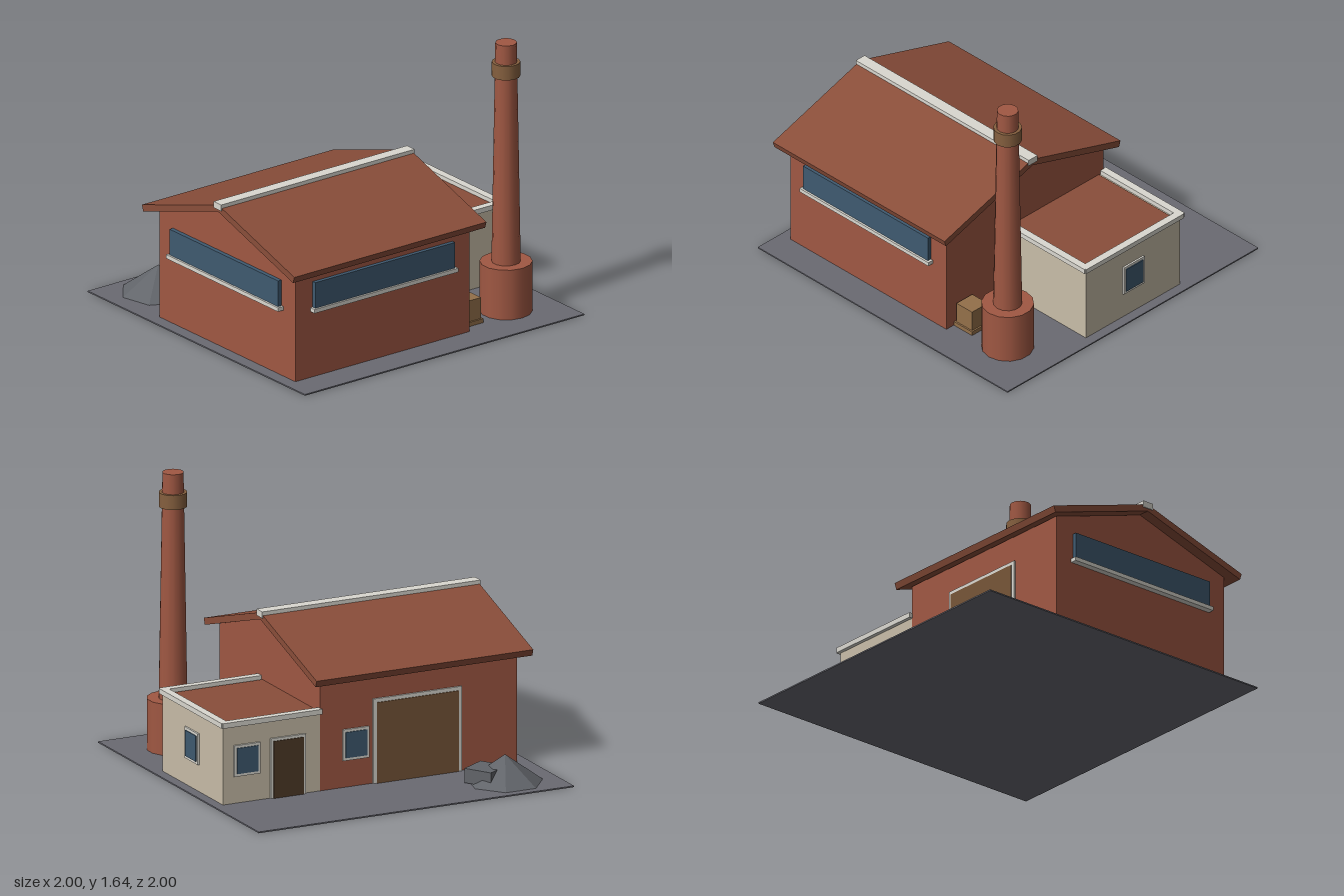
import * as THREE from 'three';

const mat = (color) => new THREE.MeshStandardMaterial({ color });
const M = {
  ground: mat(0x6a6a72), brick: mat(0xa05843), roof: mat(0x8a4e3a), trim: mat(0xdad8d0),
  plaster: mat(0xc8bda8), glass: mat(0x3f5a70), gate: mat(0x765538), door: mat(0x4f3a28),
  wood: mat(0x94704a), band: mat(0x86603f), rubble: mat(0x62656a),
};
M.rubble.flatShading = true;

export function createModel() {
  const model = new THREE.Group();

  const add = (name, geometry, material, parent = model) => {
    const mesh = new THREE.Mesh(geometry, material);
    mesh.name = name;
    parent.add(mesh);
    return mesh;
  };
  // Box given by its minimum and maximum on each axis
  const box = (name, material, [x0, x1], [y0, y1], [z0, z1], parent) => {
    const mesh = add(name, new THREE.BoxGeometry(x1 - x0, y1 - y0, z1 - z0), material, parent);
    mesh.position.set((x0 + x1) / 2, (y0 + y1) / 2, (z0 + z1) / 2);
    return mesh;
  };
  // Profile in (z, y), extruded along x from x0 to x1
  const prism = (name, material, points, x0, x1, z) => {
    const shape = new THREE.Shape(points.map(([a, b]) => new THREE.Vector2(a, b)));
    const geometry = new THREE.ExtrudeGeometry(shape, { depth: x1 - x0, bevelEnabled: false });
    geometry.rotateY(-Math.PI / 2).translate(x1, 0, z);
    return add(name, geometry, material);
  };

  box('ground', M.ground, [-1, 1], [0, 0.008], [-1, 1]);

  // Main hall with gabled roof
  const midZ = 0.188;
  prism('hallWalls', M.brick,
    [[-0.626, 0.005], [0.626, 0.005], [0.626, 0.662], [0, 0.86], [-0.626, 0.662]], -0.924, 0.324, midZ);
  prism('hallRoof', M.roof,
    [[-0.69, 0.645], [0, 0.862], [0.69, 0.645], [0.702, 0.683], [0, 0.903], [-0.702, 0.683]], -0.99, 0.385, midZ);
  box('ridgeCap', M.trim, [-0.995, 0.39], [0.877, 0.915], [midZ - 0.035, midZ + 0.035]);

  // Long strip windows with sills
  box('frontWindow', M.glass, [-0.8, 0.2], [0.43, 0.588], [0.8, 0.838]);
  box('frontSill', M.trim, [-0.815, 0.215], [0.408, 0.432], [0.8, 0.85]);
  box('sideWindow', M.glass, [-0.95, -0.9], [0.43, 0.588], [midZ - 0.5, midZ + 0.5]);
  box('sideSill', M.trim, [-0.962, -0.9], [0.408, 0.432], [midZ - 0.515, midZ + 0.515]);

  // Flat-roofed annex with parapet
  box('annexWalls', M.plaster, [0.32, 0.94], [0.005, 0.467], [-0.437, 0.315]);
  box('annexRoof', M.roof, [0.32, 0.905], [0.45, 0.474], [-0.402, 0.28]);
  box('parapetBack', M.trim, [0.32, 0.95], [0.465, 0.495], [-0.46, -0.415]);
  box('parapetFront', M.trim, [0.32, 0.95], [0.465, 0.495], [0.29, 0.335]);
  box('parapetEnd', M.trim, [0.91, 0.957], [0.465, 0.495], [-0.452, 0.327]);

  // Framed openings, built facing +z and turned onto their walls
  const opening = (name, material, w, y0, y1, border, x, z, turn) => {
    const group = new THREE.Group();
    group.name = name;
    const low = y0 > 0.05 ? y0 - border : y0;
    box('frame', M.trim, [-w / 2 - border, w / 2 + border], [low, y1 + border], [-0.01, 0.011], group);
    box('panel', material, [-w / 2, w / 2], [y0, y1], [-0.01, 0.016], group);
    group.position.set(x, 0, z);
    group.rotation.y = turn;
    model.add(group);
  };
  opening('annexSideWindow', M.glass, 0.135, 0.183, 0.335, 0.016, 0.94, -0.061, Math.PI / 2);
  opening('annexBackWindow', M.glass, 0.135, 0.183, 0.335, 0.016, 0.79, -0.438, Math.PI);
  opening('hallBackWindow', M.glass, 0.135, 0.183, 0.335, 0.016, 0.1, -0.438, Math.PI);
  opening('annexDoor', M.door, 0.19, 0.008, 0.345, 0.016, 0.53, -0.438, Math.PI);
  opening('hallGate', M.gate, 0.52, 0.008, 0.485, 0.022, -0.29, -0.438, Math.PI);

  // Chimney
  const chimney = new THREE.Group();
  chimney.name = 'chimney';
  chimney.position.set(0.685, 0, 0.685);
  model.add(chimney);
  const drum = (name, material, top, bottom, y0, y1) => {
    const mesh = add(name, new THREE.CylinderGeometry(top, bottom, y1 - y0, 14), material, chimney);
    mesh.position.y = (y0 + y1) / 2;
  };
  drum('chimneyBase', M.brick, 0.15, 0.15, 0.005, 0.31);
  drum('chimneyShaft', M.brick, 0.061, 0.083, 0.3, 1.64);
  drum('chimneyBand', M.band, 0.081, 0.081, 1.438, 1.523);

  // Crate on a pallet
  box('pallet', M.wood, [0.326, 0.47], [0.005, 0.033], [0.61, 0.755]);
  box('crate', M.wood, [0.336, 0.46], [0.033, 0.16], [0.62, 0.745]);

  // Rubble heap and block
  const heap = add('rubbleHeap', new THREE.ConeGeometry(0.22, 0.162, 7), M.rubble);
  heap.position.set(-0.69, 0.089, -0.75);
  const block = box('rubbleBlock', M.rubble, [-0.673, -0.498], [0.015, 0.1], [-0.802, -0.627]);
  block.rotation.y = 0.55;

  return model;
}
